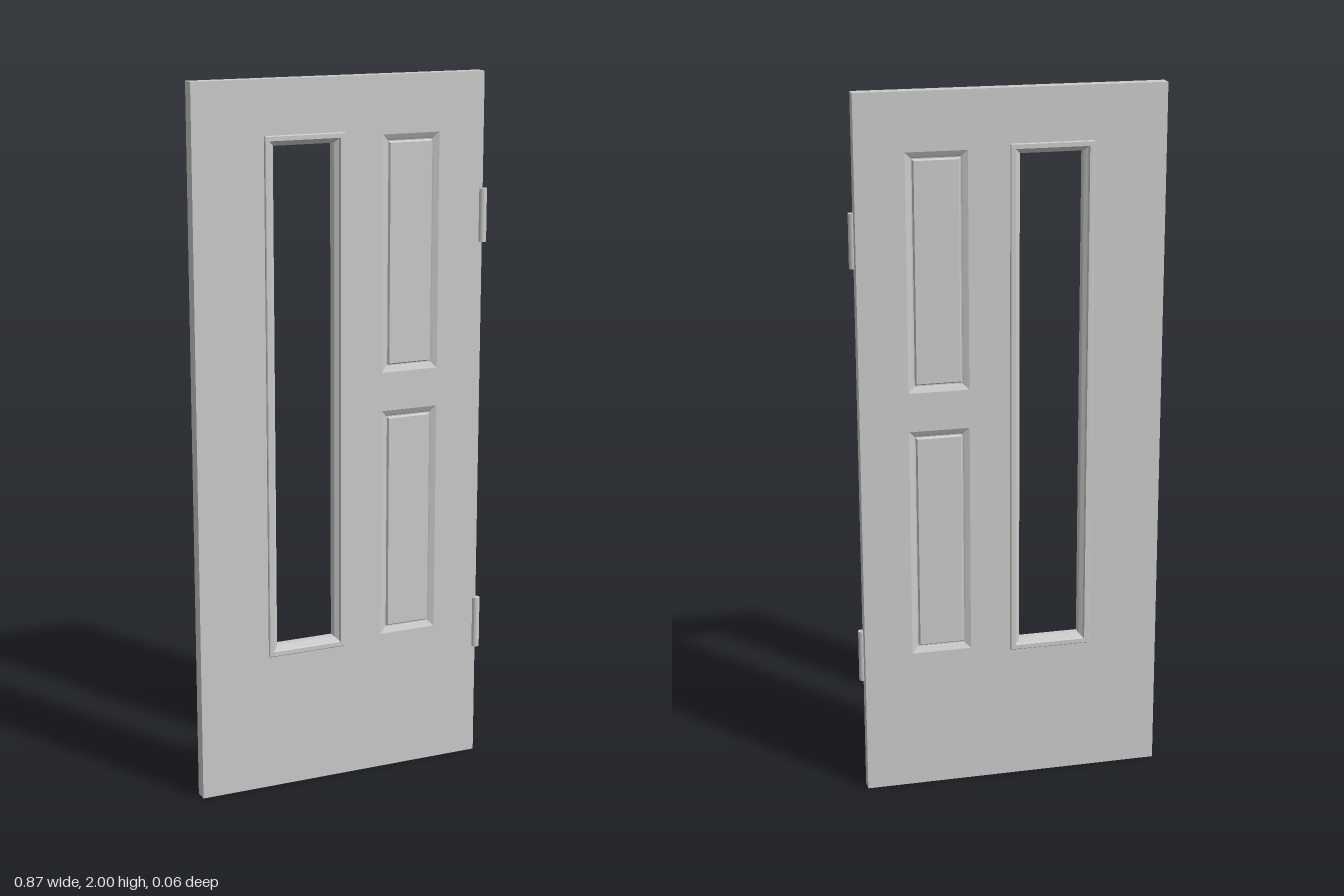
import * as THREE from 'three';

const MID_Z = -0.003;  // middle of the door leaf
const HALF = 0.019;    // half of its thickness

const material = new THREE.MeshStandardMaterial({ color: 0xcccccc, flatShading: true });

// Rectangular moulding: mitred rings following [inset, height] points from outside in
function moulding(w, h, profile) {
  const rings = profile.map(([inset, z]) => {
    const x = w / 2 - inset, y = h / 2 - inset;
    return [[-x, -y, z], [x, -y, z], [x, y, z], [-x, y, z]];
  });
  const pos = [];
  for (let i = 0; i < rings.length - 1; i++) {
    for (let k = 0; k < 4; k++) {
      const n = (k + 1) % 4, a = rings[i], b = rings[i + 1];
      pos.push(...a[k], ...a[n], ...b[n], ...a[k], ...b[n], ...b[k]);
    }
  }
  const g = new THREE.BufferGeometry();
  g.setAttribute('position', new THREE.Float32BufferAttribute(pos, 3));
  g.computeVertexNormals();
  return g;
}

// The same moulding on the front and the back of the leaf
function bothSides(name, { x0, x1, y0, y1 }, profile) {
  const group = new THREE.Group();
  group.name = name;
  const geometry = moulding(x1 - x0, y1 - y0, profile);
  ['Front', 'Back'].forEach((side, i) => {
    const mesh = new THREE.Mesh(geometry, material);
    mesh.name = name + side;
    mesh.rotation.y = i * Math.PI;
    group.add(mesh);
  });
  group.position.set((x0 + x1) / 2, (y0 + y1) / 2, MID_Z);
  return group;
}

function rectPath({ x0, x1, y0, y1 }, inset = 0) {
  const p = new THREE.Path();
  p.moveTo(x0 + inset, y0 + inset);
  p.lineTo(x0 + inset, y1 - inset);
  p.lineTo(x1 - inset, y1 - inset);
  p.lineTo(x1 - inset, y0 + inset);
  p.closePath();
  return p;
}

export function createModel() {
  const door = new THREE.Group();
  door.name = 'door';

  const frame = { x0: -0.232, x1: 0, y0: 0.394, y1: 1.852 };
  const panels = {
    upperPanel: { x0: 0.115, x1: 0.285, y0: 1.18, y1: 1.84 },
    lowerPanel: { x0: 0.115, x1: 0.285, y0: 0.41, y1: 1.07 },
  };

  // Door leaf with cut-outs for the window and the panels
  const outline = new THREE.Shape();
  outline.moveTo(-0.435, 0);
  outline.lineTo(0.421, 0);
  outline.lineTo(0.421, 2);
  outline.lineTo(-0.435, 2);
  outline.closePath();
  outline.holes.push(rectPath(frame, 0.012));
  for (const r of Object.values(panels)) outline.holes.push(rectPath(r));
  const leafGeometry = new THREE.ExtrudeGeometry(outline, { depth: HALF * 2, bevelEnabled: false });
  leafGeometry.translate(0, 0, MID_Z - HALF);
  const leaf = new THREE.Mesh(leafGeometry, material);
  leaf.name = 'doorLeaf';
  door.add(leaf);

  // Raised window frame, stepping down into the opening
  door.add(bothSides('windowFrame', frame, [
    [0, HALF], [0, 0.025], [0.002, 0.027], [0.014, 0.027],
    [0.017, 0.021], [0.026, 0.014], [0.028, 0.012], [0.028, 0],
  ]));

  // Recessed panels: sloping border, narrow groove, raised flat field
  for (const [name, r] of Object.entries(panels)) {
    door.add(bothSides(name, r, [
      [0, HALF], [0.014, 0.012], [0.017, 0.010], [0.020, 0.010],
      [0.024, 0.016], [(r.x1 - r.x0) / 2, 0.016],
    ]));
  }

  // Hinge barrels on the left edge
  const hingeMaterial = new THREE.MeshStandardMaterial({ color: 0xcccccc });
  const hingeGeometry = new THREE.CylinderGeometry(0.0115, 0.0115, 0.15, 24);
  for (const [name, y] of [['lowerHinge', 0.403], ['upperHinge', 1.603]]) {
    const hinge = new THREE.Mesh(hingeGeometry, hingeMaterial);
    hinge.name = name;
    hinge.position.set(0.422, y, 0.0155);
    door.add(hinge);
  }

  return door;
}
